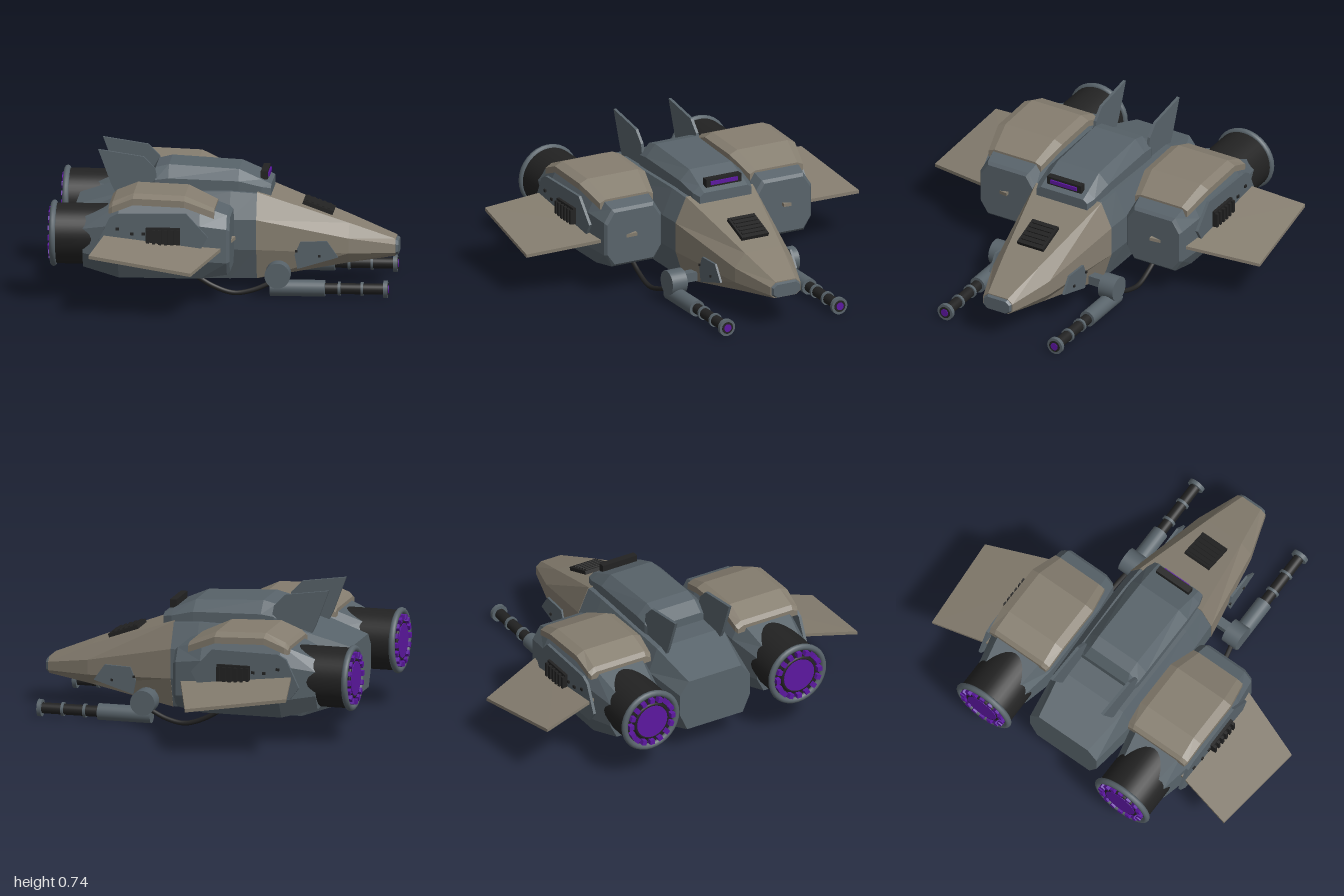
import * as THREE from 'three';

const paint = (name, color) => {
  const m = new THREE.MeshStandardMaterial({ color });
  m.name = name;
  return m;
};

// Eight-sided hull lofted along x.
// Section: [x, yTop, yHigh, yLow, yBottom, halfTop, halfMid, halfBottom]
function loft(sections, zc = 0) {
  const rings = sections.map(([x, t, h, l, b, wt, wm, wb]) =>
    [[t, wt], [t, -wt], [h, -wm], [l, -wm], [b, -wb], [b, wb], [l, wm], [h, wm]].map(([y, z]) => [x, y, z + zc]));
  const pos = [];
  const tri = (a, b, c) => pos.push(...a, ...b, ...c);
  for (let s = 0; s < rings.length - 1; s++) {
    for (let i = 0; i < 8; i++) {
      const j = (i + 1) % 8, p = rings[s], q = rings[s + 1];
      tri(p[i], q[j], p[j]);
      tri(p[i], q[i], q[j]);
    }
  }
  const back = rings[0], front = rings[rings.length - 1];
  for (let i = 1; i < 7; i++) {
    tri(back[0], back[i], back[i + 1]);
    tri(front[0], front[i + 1], front[i]);
  }
  const g = new THREE.BufferGeometry();
  g.setAttribute('position', new THREE.Float32BufferAttribute(pos, 3));
  g.computeVertexNormals();
  return g;
}

// Flat plate drawn in x-y, centred on z
function plate(points, z, thick) {
  const shape = new THREE.Shape(points.map(([x, y]) => new THREE.Vector2(x, y)));
  return new THREE.ExtrudeGeometry(shape, { depth: thick, bevelEnabled: false }).translate(0, 0, z - thick / 2);
}

const box = (x, y, z, w, h, d) => new THREE.BoxGeometry(w, h, d).translate(x, y, z);

// Cylinder lying along x
const rod = (x0, x1, y, z, r, n = 24) =>
  new THREE.CylinderGeometry(r, r, x1 - x0, n).rotateZ(Math.PI / 2).translate((x0 + x1) / 2, y, z);

const hoop = (x, y, z, R, r) =>
  new THREE.TorusGeometry(R, r, 10, 32).rotateY(Math.PI / 2).translate(x, y, z);

// Copy reflected in z with its winding restored
function reflect(geo) {
  const g = geo.index ? geo.toNonIndexed() : geo.clone();
  for (const a of Object.values(g.attributes)) {
    const n = a.itemSize;
    if (n === 3) for (let i = 0; i < a.count; i++) a.setZ(i, -a.getZ(i));
    for (let i = 0; i < a.count; i += 3) {
      for (let k = 0; k < n; k++) {
        const u = (i + 1) * n + k, v = (i + 2) * n + k, t = a.array[u];
        a.array[u] = a.array[v];
        a.array[v] = t;
      }
    }
  }
  return g;
}

export function createModel() {
  const grey = paint('slateGrey', 0x58636a);
  const tan = paint('sandTan', 0x857d6f);
  const black = paint('black', 0x222222);
  const purple = paint('purpleGlow', 0x5c17a0);
  const model = new THREE.Group();
  model.name = 'spacecraft';

  const add = (name, geo, mat) => {
    const m = new THREE.Mesh(geo, mat);
    m.name = name;
    model.add(m);
  };
  const pair = (name, geo, mat) => {
    add(name + 'Starboard', geo, mat);
    add(name + 'Port', reflect(geo), mat);
  };

  // Central body and nose
  add('hull', loft([
    [-0.79, 0.45, 0.38, 0.26, 0.16, 0.16, 0.215, 0.17],
    [-0.53, 0.53, 0.4, 0.24, 0.07, 0.2, 0.25, 0.2],
    [0.03, 0.54, 0.4, 0.24, 0.075, 0.205, 0.265, 0.21],
    [0.17, 0.53, 0.4, 0.24, 0.08, 0.2, 0.26, 0.21],
  ]), grey);
  add('nose', loft([
    [0.17, 0.537, 0.4, 0.24, 0.078, 0.2, 0.263, 0.212],
    [0.65, 0.362, 0.29, 0.21, 0.155, 0.11, 0.172, 0.13],
    [0.89, 0.27, 0.245, 0.2, 0.18, 0.06, 0.09, 0.065],
  ]), tan);
  add('noseTip', loft([
    [0.885, 0.267, 0.245, 0.2, 0.182, 0.062, 0.087, 0.062],
    [0.905, 0.257, 0.24, 0.205, 0.187, 0.055, 0.078, 0.055],
  ]), grey);
  add('noseHatch', new THREE.BoxGeometry(0.17, 0.02, 0.16).rotateZ(-0.35).translate(0.482, 0.434, 0), black);
  for (let i = 0; i < 5; i++) {
    const x = 0.425 + i * 0.028;
    add('hatchSlat', new THREE.BoxGeometry(0.014, 0.008, 0.136).rotateZ(-0.35)
      .translate(x, 0.447 - (x - 0.482) * 0.365, 0), black);
  }
  pair('nosePanel', plate([[0.37, 0.21], [0.4, 0.28], [0.54, 0.285], [0.6, 0.2], [0.385, 0.135]], 0.225, 0.012), grey);
  for (const [x, y] of [[0.38, 0.23], [0.5, 0.205]]) pair('noseBolt', box(x, y, 0.234, 0.012, 0.012, 0.008), black);

  // Raised spine with sensor bar
  add('spine', loft([
    [-0.41, 0.58, 0.56, 0.52, 0.48, 0.14, 0.165, 0.165],
    [-0.37, 0.648, 0.59, 0.52, 0.48, 0.125, 0.18, 0.18],
    [-0.3, 0.665, 0.6, 0.52, 0.48, 0.125, 0.182, 0.182],
    [0.07, 0.645, 0.59, 0.52, 0.48, 0.125, 0.182, 0.182],
    [0.19, 0.592, 0.56, 0.52, 0.48, 0.13, 0.172, 0.172],
    [0.24, 0.568, 0.55, 0.51, 0.48, 0.13, 0.155, 0.155],
  ]), grey);
  add('sensorBar', box(0.2, 0.608, 0, 0.036, 0.045, 0.21), black);
  add('sensorGlow', box(0.222, 0.608, 0, 0.009, 0.02, 0.16), purple);
  pair('tailFin', plate([[-0.56, 0.48], [-0.6, 0.56], [-0.67, 0.748], [-0.43, 0.712], [-0.37, 0.65], [-0.34, 0.48]], 0.165, 0.016), grey);

  // Engine pods
  const pz = 0.45, py = 0.355;
  pair('pod', loft([
    [-0.72, 0.465, 0.41, 0.28, 0.2, 0.11, 0.15, 0.11],
    [-0.53, 0.54, 0.44, 0.25, 0.15, 0.14, 0.19, 0.14],
    [-0.1, 0.54, 0.44, 0.25, 0.15, 0.14, 0.19, 0.14],
    [0.04, 0.49, 0.42, 0.24, 0.17, 0.125, 0.17, 0.125],
    [0.056, 0.475, 0.41, 0.245, 0.185, 0.115, 0.158, 0.115],
  ], pz), grey);
  pair('podCover', loft([
    [-0.58, 0.54, 0.525, 0.51, 0.5, 0.15, 0.182, 0.182],
    [-0.56, 0.56, 0.54, 0.52, 0.505, 0.155, 0.19, 0.19],
    [-0.45, 0.605, 0.585, 0.57, 0.55, 0.15, 0.196, 0.196],
    [-0.18, 0.595, 0.575, 0.56, 0.54, 0.15, 0.196, 0.196],
    [-0.025, 0.525, 0.51, 0.495, 0.475, 0.125, 0.16, 0.16],
  ], pz), tan);

  // Thrusters
  pair('thruster', rod(-0.875, -0.55, py, pz, 0.16, 40), black);
  pair('thrusterRim', hoop(-0.88, py, pz, 0.158, 0.017), grey);
  pair('thrusterGlow', rod(-0.9, -0.87, py, pz, 0.092, 32), purple);
  pair('thrusterInnerRing', hoop(-0.888, py, pz, 0.097, 0.01), black);
  for (let i = 0; i < 16; i++) {
    const stud = new THREE.BoxGeometry(0.03, 0.026, 0.026).translate(-0.89, 0.126, 0)
      .rotateX(i * Math.PI / 8).translate(0, py, pz);
    pair('thrusterStud', stud, purple);
  }

  // Pod side panels with vents
  pair('sidePanel', plate([[-0.645, 0.33], [-0.575, 0.48], [-0.53, 0.505], [-0.17, 0.51], [-0.055, 0.385], [-0.12, 0.27], [-0.6, 0.27]], 0.65, 0.016), grey);
  pair('vent', box(-0.29, 0.39, 0.664, 0.18, 0.09, 0.02), black);
  for (let i = 0; i < 6; i++) pair('ventRib', box(-0.37 + i * 0.032, 0.385, 0.68, 0.016, 0.078, 0.018), black);
  for (const [x, y] of [[-0.53, 0.425], [-0.455, 0.4], [-0.395, 0.4]]) pair('panelBolt', box(x, y, 0.66, 0.018, 0.014, 0.012), black);

  // Swept, drooping wings: a box with its corners moved
  const wing = new THREE.BoxGeometry(1, 1, 1);
  const wp = wing.attributes.position;
  const corners = { in: [[-0.56, 0.415, 0.44], [0.075, 0.34, 0.44]], out: [[-0.66, 0.33, 0.95], [-0.12, 0.252, 0.998]] };
  for (let i = 0; i < wp.count; i++) {
    const [x, y, z] = corners[wp.getZ(i) > 0 ? 'out' : 'in'][wp.getX(i) > 0 ? 1 : 0];
    wp.setXYZ(i, x, y + (wp.getY(i) > 0 ? 0.009 : -0.009), z);
  }
  pair('wing', wing.toNonIndexed(), tan);
  wing.computeVertexNormals();
  model.children.filter((m) => m.name.startsWith('wing')).forEach((m) => m.geometry.computeVertexNormals());

  // Slung guns with feed cables
  const gz = 0.337, gy = 0.056;
  pair('gunPivot', new THREE.CylinderGeometry(0.067, 0.067, 0.09, 32).rotateX(Math.PI / 2).translate(0.29, 0.126, gz), grey);
  pair('gunStrut', box(0.29, 0.14, 0.27, 0.05, 0.05, 0.12), grey);
  pair('gunHousing', rod(0.25, 0.54, gy, gz, 0.044), grey);
  pair('gunBarrel', rod(0.54, 0.86, gy, gz, 0.029), black);
  for (const x of [0.615, 0.735]) pair('barrelRing', rod(x - 0.007, x + 0.007, gy, gz, 0.037), grey);
  pair('muzzle', rod(0.848, 0.87, gy, gz, 0.046), grey);
  pair('muzzleBore', rod(0.85, 0.873, gy, gz, 0.032), black);
  pair('muzzleGlow', rod(0.85, 0.876, gy, gz, 0.021), purple);
  const cable = new THREE.CatmullRomCurve3([[-0.15, 0.125, 0.36], [-0.05, 0.065, 0.36], [0.06, 0.03, 0.362], [0.16, 0.045, 0.355], [0.27, 0.09, 0.337]]
    .map((p) => new THREE.Vector3(...p)));
  pair('cable', new THREE.TubeGeometry(cable, 28, 0.013, 8), black);

  return model;
}
